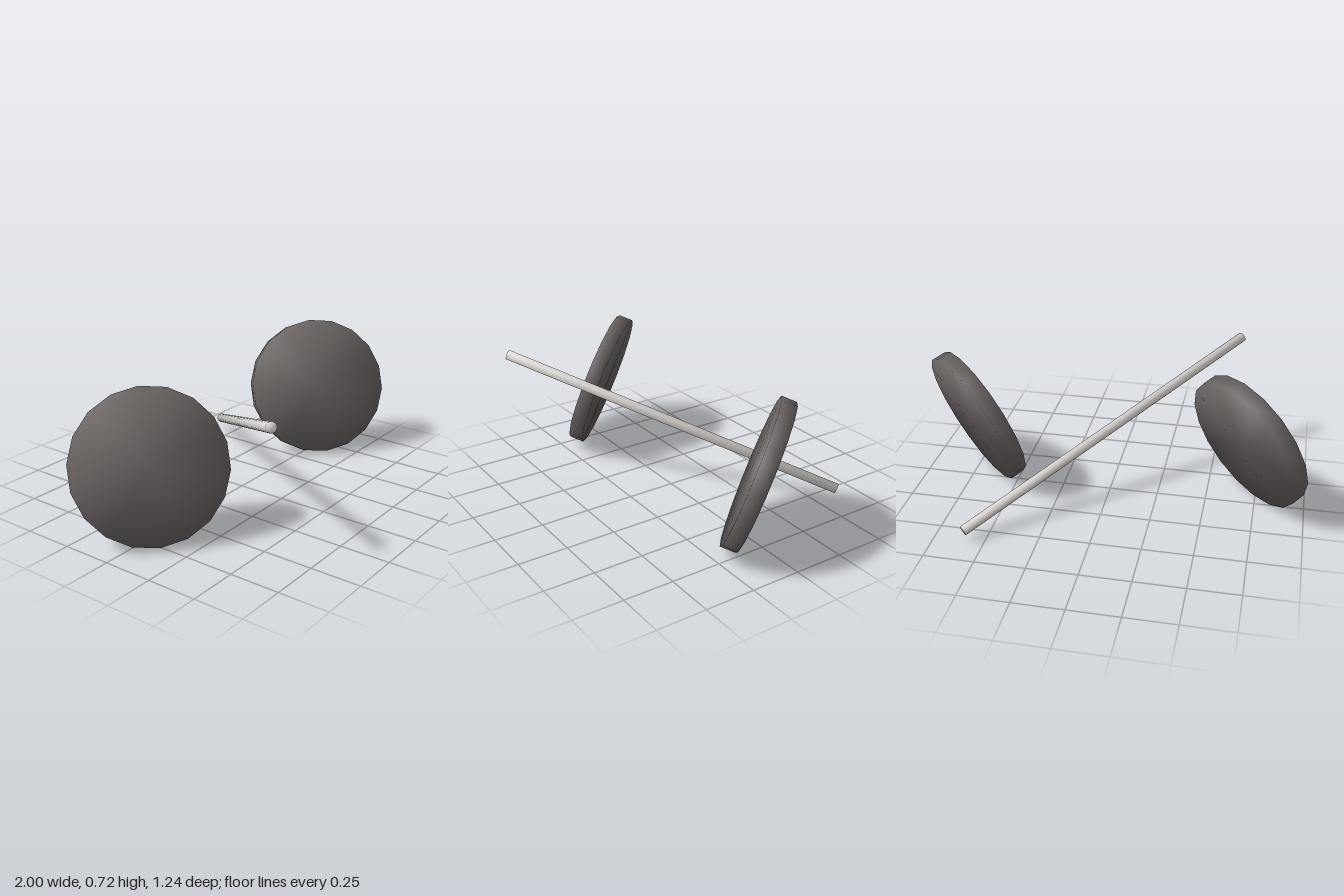
import * as THREE from 'three';

const SIDES = 18;

// Closed cylinder whose shading is blended softly over the rim between cap and side.
function softCylinder(radius, length) {
  const geometry = new THREE.CylinderGeometry(radius, radius, length, SIDES, 1, false, THREE.MathUtils.degToRad(15));
  const position = geometry.attributes.position;
  const normal = geometry.attributes.normal;
  const spread = 1.44;
  const scale = 1 / Math.hypot(1, spread);
  for (let i = 0; i < position.count; i++) {
    normal.setXYZ(
      i,
      (position.getX(i) / radius) * spread * scale,
      Math.sign(position.getY(i)) * scale,
      (position.getZ(i) / radius) * spread * scale
    );
  }
  return geometry;
}

export function createModel() {
  const model = new THREE.Group();
  model.name = 'wheelsAndAxle';

  const darkGrey = new THREE.MeshStandardMaterial({ color: 0x686160 });
  darkGrey.name = 'dark grey';
  const lightGrey = new THREE.MeshStandardMaterial({ color: 0xd9d4d0 });
  lightGrey.name = 'light grey';

  // All parts share one tilted axis
  const axis = new THREE.Vector3(2, -1, -2).normalize();
  const across = new THREE.Vector3(1, 0, 1).normalize();
  const up = new THREE.Vector3().crossVectors(across, axis);
  const tilt = new THREE.Quaternion().setFromRotationMatrix(new THREE.Matrix4().makeBasis(across, axis, up));

  function addPart(name, geometry, material, x) {
    const mesh = new THREE.Mesh(geometry, material);
    mesh.name = name;
    mesh.position.set(x, 0.36, 0);
    mesh.quaternion.copy(tilt);
    model.add(mesh);
  }

  // Long thin axle through the middle
  addPart('axle', softCylinder(0.025, 1.8), lightGrey, 0);

  // Two flat wheels on either side
  const wheel = softCylinder(0.368, 0.075);
  addPart('leftWheel', wheel, darkGrey, 0.7);
  addPart('rightWheel', wheel, darkGrey, -0.7);

  return model;
}
